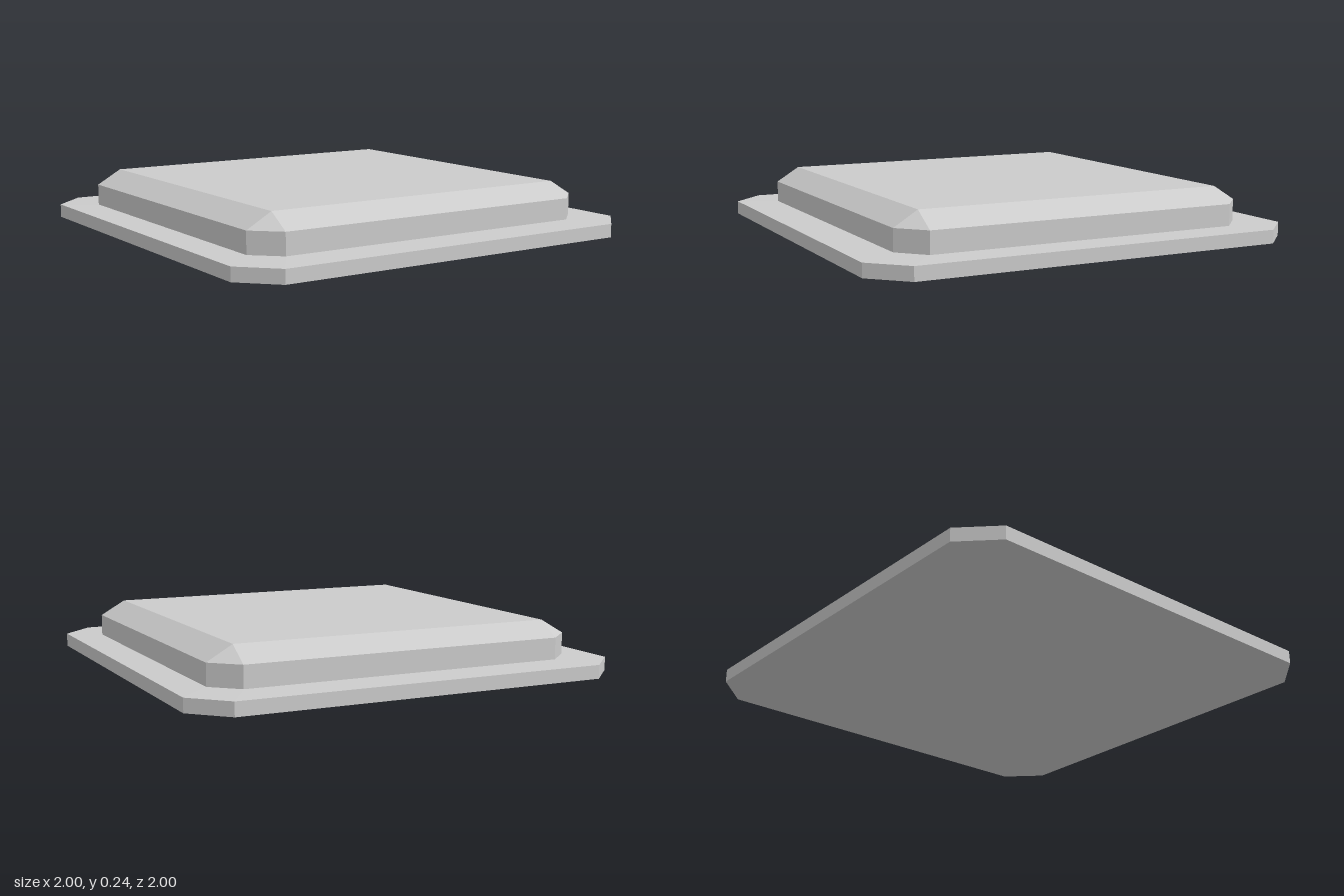
import * as THREE from 'three';

// Eight-cornered outline: half width, half depth, corner cuts, height
function ring(w, d, cutX, cutZ, y) {
  const a = w - cutX, b = d - cutZ;
  return [[w, b], [a, d], [-a, d], [-w, b], [-w, -b], [-a, -d], [a, -d], [w, -b]]
    .map(([x, z]) => new THREE.Vector3(x, y, z));
}

// Skin stacked rings, listed from bottom to top, with a top cap and optional bottom cap
function stack(rings, capBottom) {
  const points = [];
  const tri = (a, b, c) => {
    if (new THREE.Triangle(a, b, c).getArea() > 1e-6) points.push(a, b, c);
  };
  for (let r = 0; r < rings.length - 1; r++) {
    const lo = rings[r], hi = rings[r + 1];
    for (let i = 0; i < 8; i++) {
      const j = (i + 1) % 8;
      tri(lo[i], hi[i], lo[j]);
      tri(lo[j], hi[i], hi[j]);
    }
  }
  const bottom = rings[0], top = rings[rings.length - 1];
  for (let i = 1; i < 7; i++) {
    tri(top[0], top[i + 1], top[i]);
    if (capBottom) tri(bottom[0], bottom[i], bottom[i + 1]);
  }
  const geometry = new THREE.BufferGeometry().setFromPoints(points);
  geometry.computeVertexNormals();
  return geometry;
}

export function createModel() {
  const group = new THREE.Group();
  group.name = 'steppedPlate';
  const material = new THREE.MeshStandardMaterial({ color: 0xcccccc, flatShading: true });
  const add = (name, geometry) => {
    const mesh = new THREE.Mesh(geometry, material);
    mesh.name = name;
    group.add(mesh);
  };

  // Wide base with cut corners and barely domed faces
  add('basePlate', stack([
    ring(0.9, 0.9, 0.13, 0.13, 0),
    ring(1, 1, 0.15, 0.15, 0.007),
    ring(1, 1, 0.15, 0.15, 0.068),
    ring(0.85, 0.82, 0.115, 0.105, 0.073),
  ], true));

  // Raised panel; its bevel rises to a square-cornered top
  add('raisedPanel', stack([
    ring(0.857, 0.827, 0.115, 0.107, 0.07),
    ring(0.857, 0.827, 0.115, 0.107, 0.17),
    ring(0.742, 0.72, 0, 0, 0.236),
  ], false));

  return group;
}
